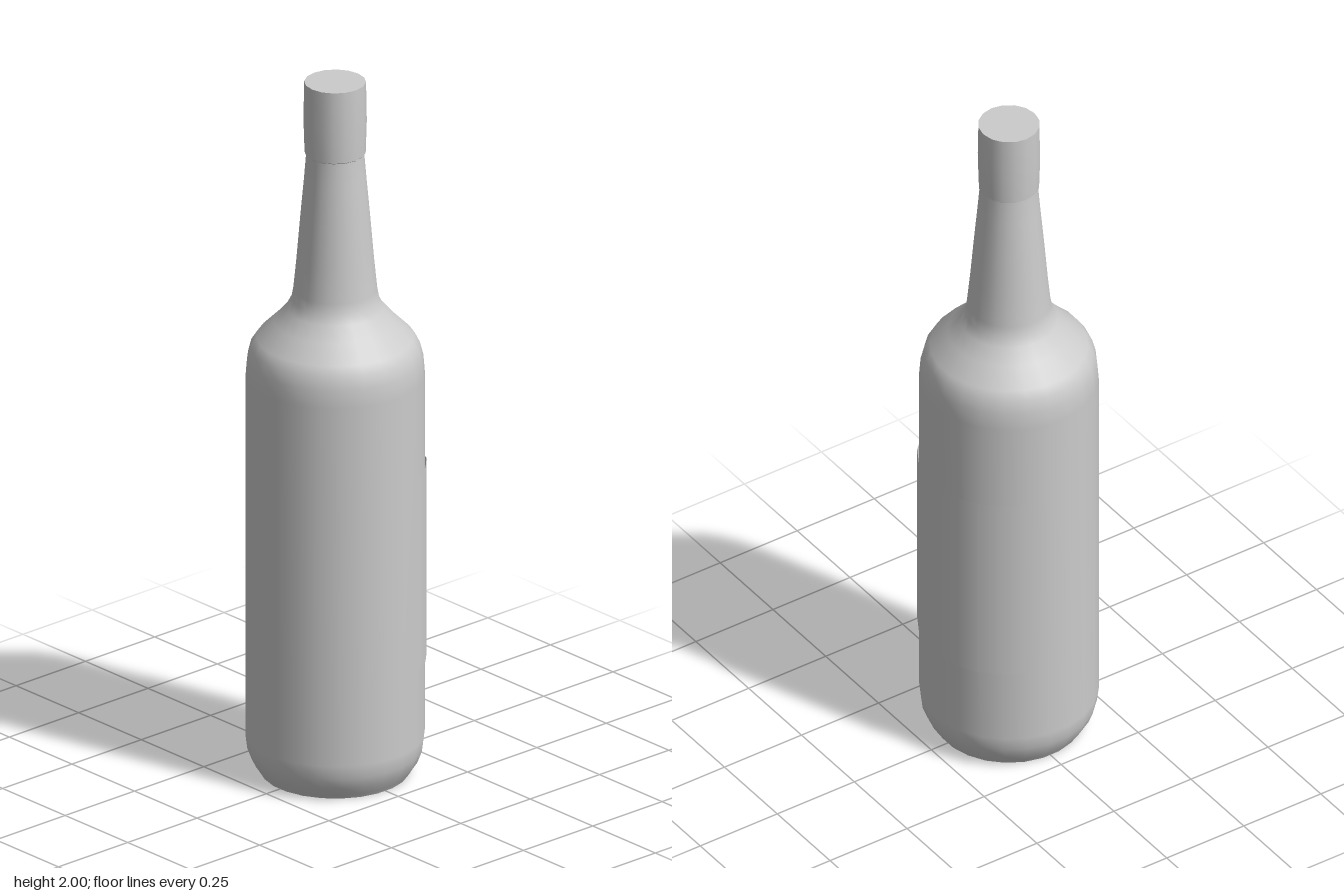
import * as THREE from 'three';

const STEP = Math.PI / 12; // one of 24 sides

// Turn a list of [radius, height] pairs around the vertical axis.
function lathe(name, profile, sides, start, sweep = Math.PI * 2, side = THREE.FrontSide) {
  const points = profile.map(([r, y]) => new THREE.Vector2(r, y));
  const mesh = new THREE.Mesh(
    new THREE.LatheGeometry(points, sides, start, sweep),
    new THREE.MeshStandardMaterial({ color: 0xcccccc, side })
  );
  mesh.name = name;
  return mesh;
}

// Flat disc facing up or down, lined up with the lathed sides.
function disc(name, radius, y, sides, start, up) {
  const geometry = new THREE.CircleGeometry(radius, sides, start);
  geometry.rotateX(up ? -Math.PI / 2 : Math.PI / 2);
  const mesh = new THREE.Mesh(geometry, new THREE.MeshStandardMaterial({ color: 0xcccccc }));
  mesh.name = name;
  mesh.position.y = y;
  return mesh;
}

export function createModel() {
  const model = new THREE.Group();
  model.name = 'bottle';

  // Glass: rounded foot, straight body, sloping shoulder and tapering neck
  const glass = new THREE.Group();
  glass.name = 'glass';
  glass.position.z = 0.002;
  glass.add(
    lathe('body', [
      [0.2, 0], [0.207, 0.012], [0.224, 0.038], [0.236, 0.07], [0.241, 0.11],
      [0.241, 1.15], [0.237, 1.2], [0.228, 1.235], [0.212, 1.26],
      [0.165, 1.307], [0.132, 1.345], [0.118, 1.372], [0.113, 1.4],
      [0.104, 1.49], [0.094, 1.61], [0.084, 1.72], [0.079, 1.78], [0.078, 1.81]
    ], 24, STEP / 2),
    disc('base', 0.2, 0, 24, STEP / 2, false)
  );

  // Cap sleeve over the mouth, closed with a flat lid
  const cap = new THREE.Group();
  cap.name = 'cap';
  cap.add(
    lathe('capUnderside', [[0.076, 1.79], [0.082, 1.795]], 16, 0),
    lathe('capSleeve', [[0.082, 1.795], [0.085, 1.89], [0.083, 2]], 16, 0),
    disc('capLid', 0.083, 2, 16, 0, true)
  );
  glass.add(cap);
  model.add(glass);

  // Thin curved label wrapped over the back
  const label = lathe('label', [[0.242, 0.33], [0.242, 0.895]], 9,
    Math.PI - 4.5 * STEP, 9 * STEP, THREE.DoubleSide);
  label.position.z = -0.003;
  model.add(label);

  return model;
}
